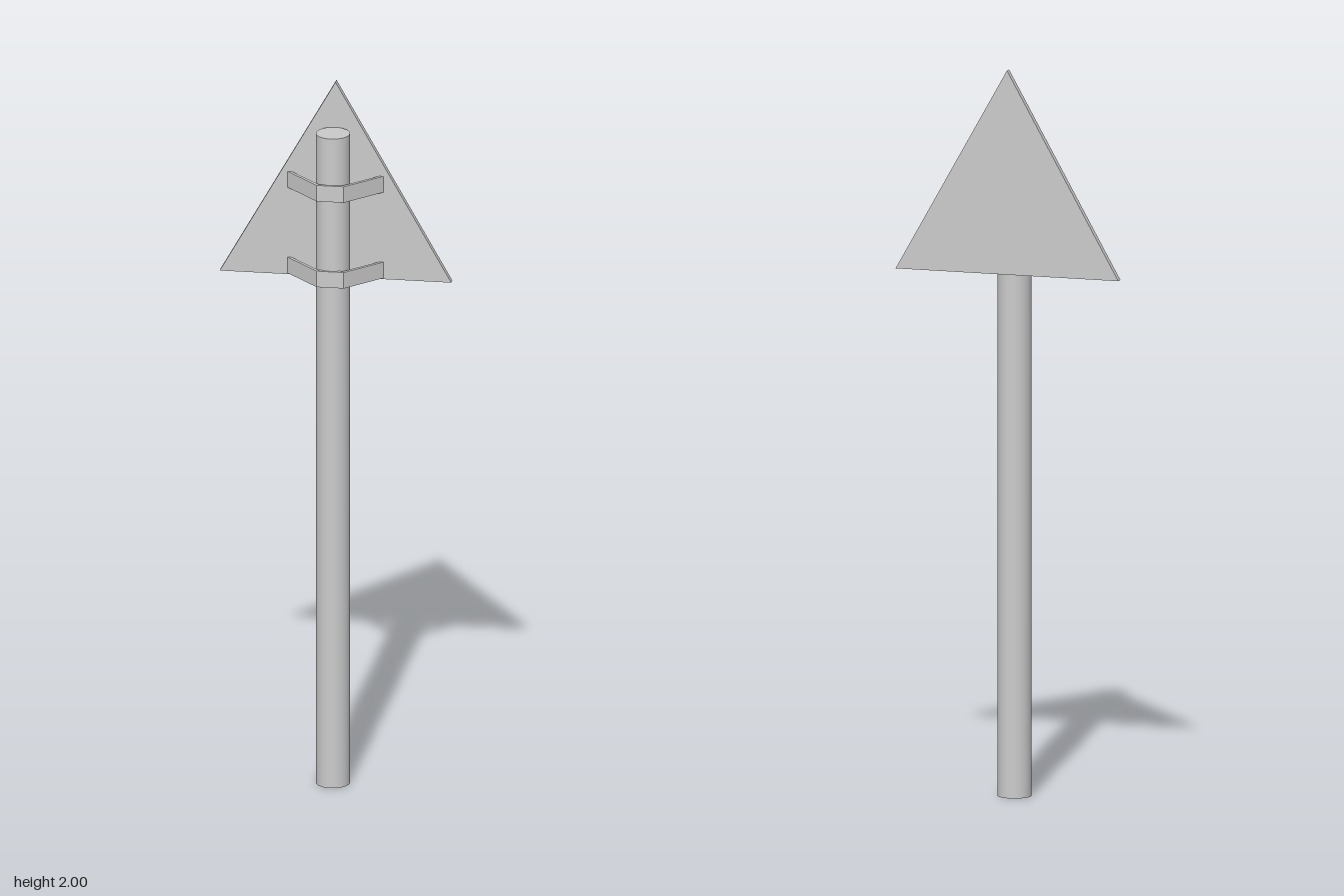
import * as THREE from 'three';

export function createModel() {
  const group = new THREE.Group();
  const material = new THREE.MeshStandardMaterial({ color: 0xcccccc });
  const add = (name, geometry, x, y, z) => {
    const mesh = new THREE.Mesh(geometry, material);
    mesh.name = name;
    mesh.position.set(x, y, z);
    group.add(mesh);
    return mesh;
  };
  const extrude = (points, depth) => new THREE.ExtrudeGeometry(
    new THREE.Shape(points.map(([x, y]) => new THREE.Vector2(x, y))),
    { depth, bevelEnabled: false });

  // Round post
  const postHeight = 1.87;
  add('post', new THREE.CylinderGeometry(0.046, 0.046, postHeight, 48), 0, postHeight / 2, 0.006);

  // Triangular sign plate behind the post
  add('signPlate', extrude([[-0.316, 1.44], [0.316, 1.44], [0, 2]], 0.019), 0, 0, -0.059);

  // Bent strap clamps, profile drawn in plan (x, z) and mirrored
  const half = [[0.037, 0.056], [0.131, -0.04], [0.119, -0.04], [0.033, 0.047]];
  const strap = [...half, ...half.map(([x, z]) => [-x, z]).reverse()];
  const strapGeometry = extrude(strap, 0.046).rotateX(Math.PI / 2);
  [['lowerClamp', 1.489], ['upperClamp', 1.736]].forEach(([name, top]) => {
    add(name, strapGeometry, 0, top, 0);
  });

  return group;
}
